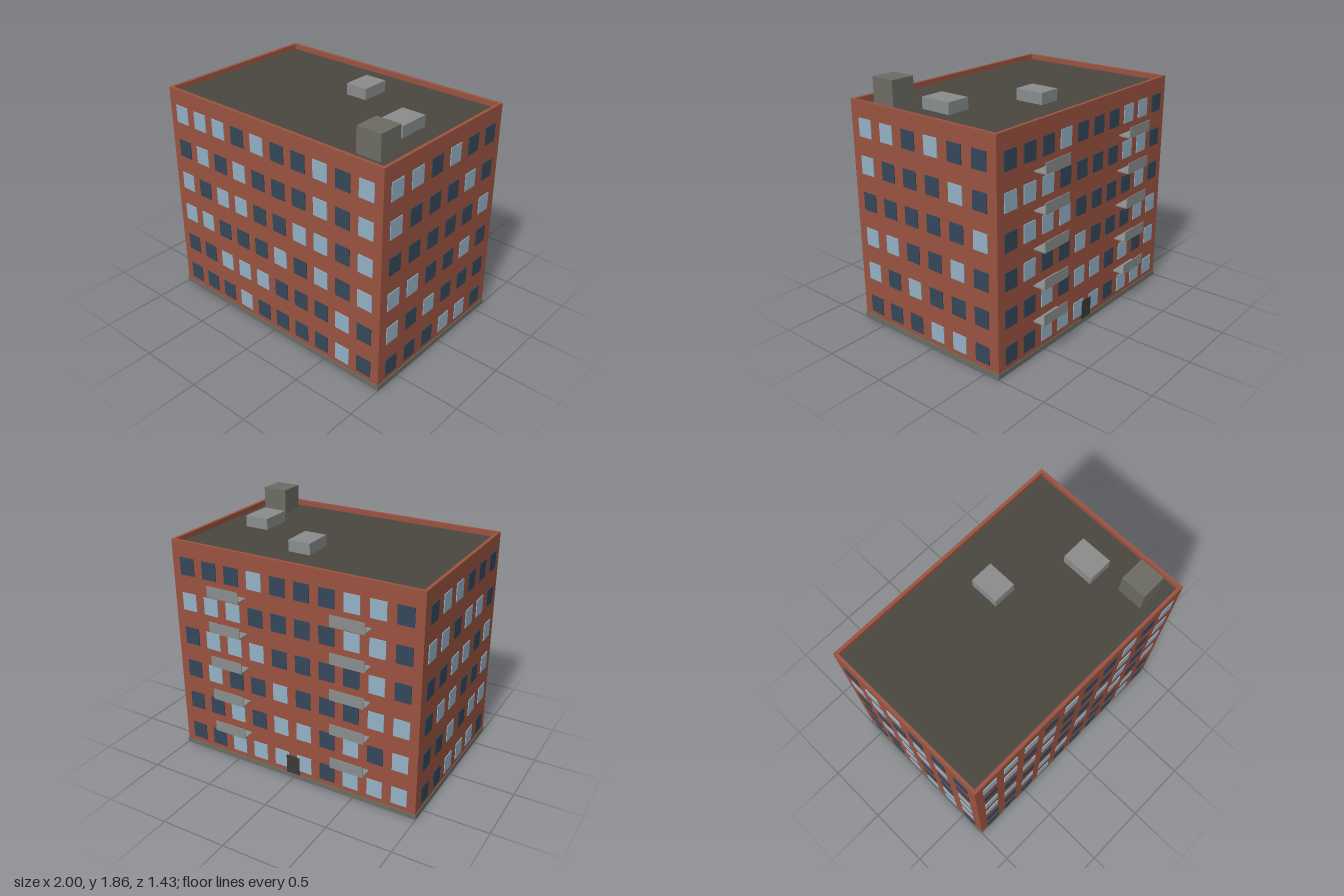
import * as THREE from 'three';

const mat = (name, color) => Object.assign(new THREE.MeshStandardMaterial({ color }), { name });

export function createModel() {
  const brick = mat('brick', 0x9a5340);
  const concrete = mat('concrete', 0x6c6b63);
  const roofing = mat('roofing', 0x4a4740);
  const metal = mat('metal', 0x8a8d8d);
  const litGlass = mat('lightGlass', 0x93b1c6);
  const darkGlass = mat('darkGlass', 0x35475a);
  const doorPaint = mat('doorPaint', 0x3c3a38);

  const model = new THREE.Group();
  model.name = 'apartmentBlock';

  // Box given by its min and max corners
  const box = (name, material, x0, x1, y0, y1, z0, z1, parent = model) => {
    const mesh = new THREE.Mesh(new THREE.BoxGeometry(x1 - x0, y1 - y0, z1 - z0), material);
    mesh.position.set((x0 + x1) / 2, (y0 + y1) / 2, (z0 + z1) / 2);
    mesh.name = name;
    parent.add(mesh);
    return mesh;
  };

  const X = 0.994, ZB = -0.617, ZF = 0.709, TOP = 1.71, ROOF = 1.67, P = 0.025;

  // Plinth, walls and roof with a parapet around it
  box('plinth', concrete, -1, 1, 0, 0.04, -0.622, 0.714);
  box('walls', brick, -X, X, 0.04, ROOF - 0.01, ZB, ZF);
  box('roof', roofing, -X + P, X - P, ROOF - 0.01, ROOF, ZB + P, ZF - P);
  const outline = new THREE.Shape([
    new THREE.Vector2(-X, -ZF), new THREE.Vector2(X, -ZF),
    new THREE.Vector2(X, -ZB), new THREE.Vector2(-X, -ZB)]);
  outline.holes.push(new THREE.Path([
    new THREE.Vector2(-X + P, -ZF + P), new THREE.Vector2(-X + P, -ZB - P),
    new THREE.Vector2(X - P, -ZB - P), new THREE.Vector2(X - P, -ZF + P)]));
  const parapet = new THREE.Mesh(
    new THREE.ExtrudeGeometry(outline, { depth: TOP - ROOF + 0.01, bevelEnabled: false }).rotateX(-Math.PI / 2), brick);
  parapet.position.y = ROOF - 0.01;
  parapet.name = 'parapet';
  model.add(parapet);

  // Stair head and ventilation units
  box('stairHead', concrete, 0.685, 0.88, ROOF, 1.86, 0.405, 0.6);
  box('ventUnit', metal, 0.01, 0.185, ROOF, 1.755, -0.33, -0.105);
  box('ventUnit', metal, 0.58, 0.77, ROOF, 1.755, -0.01, 0.237);

  // Windows: rows from top to bottom, columns left to right as seen from outside
  const walls = {
    front: { angle: 0, dist: ZF, shift: 0, step: 0.1925, rows: [
      'LLLDLDDLDL', 'DLDLDDDLDL', 'LDLLDDLLDL', 'LLDDDLDLDL', 'DDLLLDDDLD', 'DDDLDDDDLD'] },
    back: { angle: Math.PI, dist: -ZB, shift: 0, step: 0.1925, rows: [
      'DDDLDDDLLD', 'LLLDDDDLLD', 'DLLLDDDDLD', 'DLDDLDDDLL', 'DDLDLLDLDL', 'DDLLLLDLLL'] },
    right: { angle: Math.PI / 2, dist: X, shift: 0.048, step: 0.21, rows: [
      'LLDLDD', 'LDDDLD', 'DDDDDL', 'LLDDLD', 'LDLDDD', 'DDDLLD'] },
    left: { angle: -Math.PI / 2, dist: X, shift: 0.048, step: 0.21, rows: [
      'DLLDDD', 'LLDLLD', 'DDLLDL', 'DLLDDL', 'DDLDLL', 'DDLLLD'] },
  };
  const pane = new THREE.BoxGeometry(0.121, 0.135, 0.008);
  for (const [side, { angle, dist, shift, step, rows }] of Object.entries(walls)) {
    const group = new THREE.Group();
    group.name = side + 'Windows';
    group.rotation.y = angle;
    group.position.z = shift;
    rows.forEach((row, r) => [...row].forEach((kind, c) => {
      const win = new THREE.Mesh(pane, kind === 'L' ? litGlass : darkGlass);
      win.name = 'window';
      win.position.set((c - (row.length - 1) / 2) * step, 1.521 - r * 0.275, dist + 0.002);
      group.add(win);
    }));
    model.add(group);
  }

  // Back door
  box('door', doorPaint, -0.055, 0.055, 0.04, 0.19, ZB - 0.008, ZB);

  // Balconies: a slab with a front panel, two stacks of five
  for (const s of [-1, 1]) {
    for (let i = 0; i < 5; i++) {
      const y = 0.28 + i * 0.274, x = s * 0.496;
      const balcony = new THREE.Group();
      balcony.name = 'balcony';
      box('balconySlab', metal, x - 0.132, x + 0.132, y - 0.005, y + 0.005, -0.714, ZB, balcony);
      box('balconyPanel', metal, x - 0.132, x + 0.132, y + 0.005, y + 0.078, -0.714, -0.708, balcony);
      model.add(balcony);
    }
  }
  return model;
}
